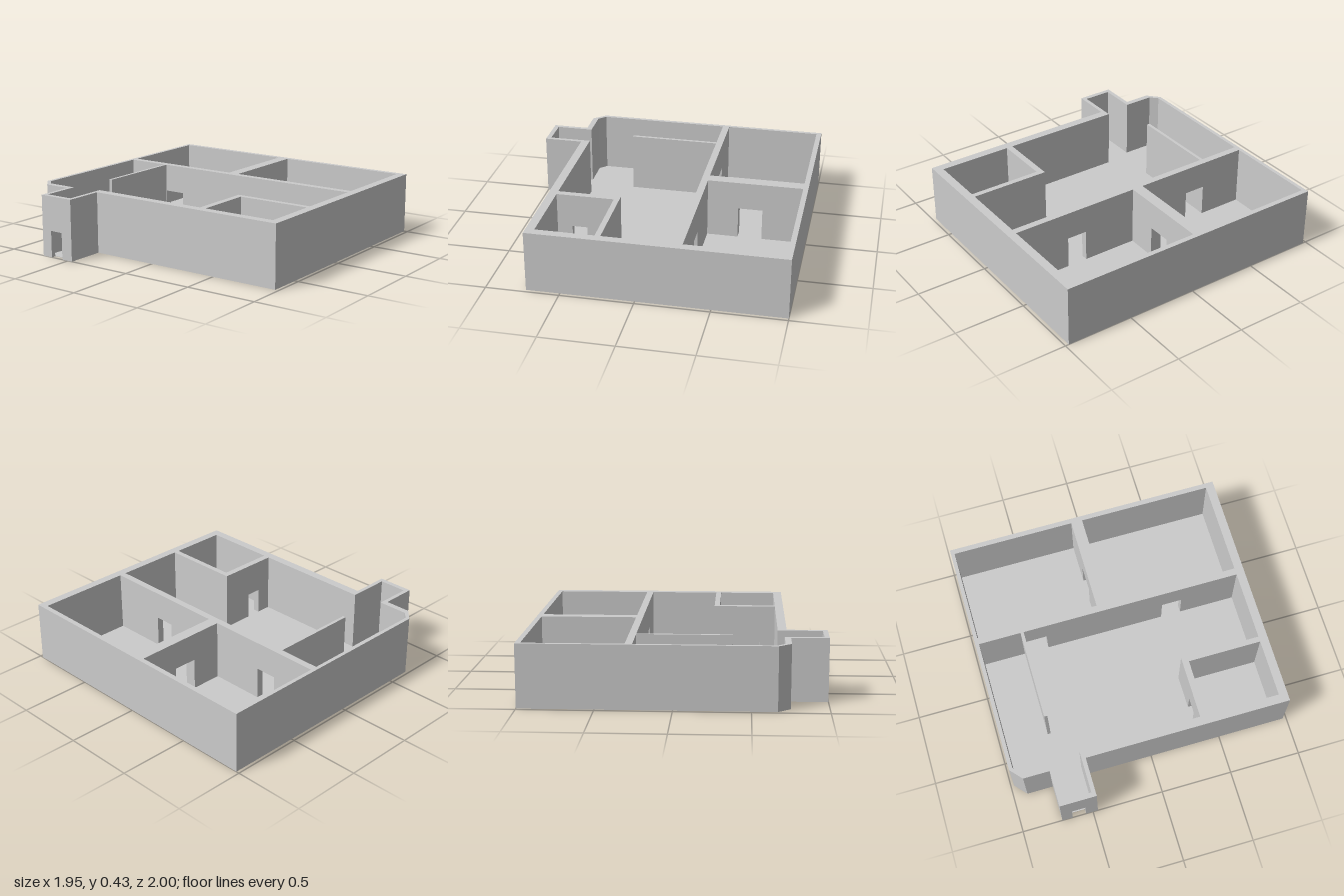
import * as THREE from 'three';

const HEIGHT = 0.425;
const material = new THREE.MeshStandardMaterial({ color: 0xcccccc, flatShading: true });

const shapeOf = (points) => new THREE.Shape(points.map(([x, y]) => new THREE.Vector2(x, y)));
const extrude = (points, depth) =>
  new THREE.ExtrudeGeometry(shapeOf(points), { depth, bevelEnabled: false });

function mesh(name, geometry) {
  const m = new THREE.Mesh(geometry, material);
  m.name = name;
  return m;
}

// Raises a floor-plan outline of [x, z] points to the given height.
const plan = (points, height) =>
  extrude(points.map(([x, z]) => [x, -z]), height).rotateX(-Math.PI / 2);

// Elevation of a wall from a to b, with an optional doorway [start, end, height].
function elevation(a, b, door) {
  const notch = door
    ? [[door[0], 0], [door[0], door[2]], [door[1], door[2]], [door[1], 0]]
    : [];
  return [[a, 0], ...notch, [b, 0], [b, HEIGHT], [a, HEIGHT]];
}

// Wall running along x, between z0 and z1.
const wallX = (name, x0, x1, z0, z1, door) =>
  mesh(name, extrude(elevation(x0, x1, door), z1 - z0).translate(0, 0, z0));

// Wall running along z, between x0 and x1.
const wallZ = (name, x0, x1, z0, z1, door) =>
  mesh(name, extrude(elevation(z0, z1, door), x1 - x0).rotateY(-Math.PI / 2).translate(x1, 0, 0));

export function createModel() {
  const house = new THREE.Group();
  house.name = 'house';

  // Outer and inner outlines, both open at the porch front
  const outer = [
    [-0.465, 0.967], [-0.465, 0.73], [0.975, 0.73], [0.975, -1], [-0.978, -1],
    [-0.978, 0.667], [-0.903, 0.75], [-0.72, 0.75], [-0.72, 0.967],
  ];
  const inner = [
    [-0.493, 0.967], [-0.493, 0.67], [0.915, 0.67], [0.915, -0.965], [-0.952, -0.965],
    [-0.952, 0.66], [-0.905, 0.71], [-0.692, 0.71], [-0.692, 0.967],
  ];

  house.add(
    mesh('outerWalls', plan([...outer, ...inner.slice().reverse()], HEIGHT)),
    mesh('floor', plan(inner, 0.004)),
    wallX('porchFront', -0.72, -0.465, 0.967, 1, [-0.645, -0.55, 0.185]),
  );

  // Partition between hall and back rooms, one doorway to each room
  house.add(
    wallX('backPartitionRight', -0.952, -0.055, -0.303, -0.255, [-0.632, -0.48, 0.228]),
    wallX('backPartitionLeft', -0.055, 0.915, -0.303, -0.255, [0.373, 0.517, 0.228]),
    wallZ('backRoomDivider', -0.095, -0.015, -0.965, -0.303, [-0.69, -0.52, 0.228]),
  );

  // Thin screen wall in the hall
  house.add(wallZ('hallScreen', -0.656, -0.634, -0.255, 0.375));

  // Small corner room
  house.add(
    wallX('cornerRoomBack', 0.355, 0.915, 0.232, 0.27),
    wallZ('cornerRoomSide', 0.355, 0.4, 0.27, 0.67, [0.46, 0.565, 0.19]),
  );

  return house;
}
